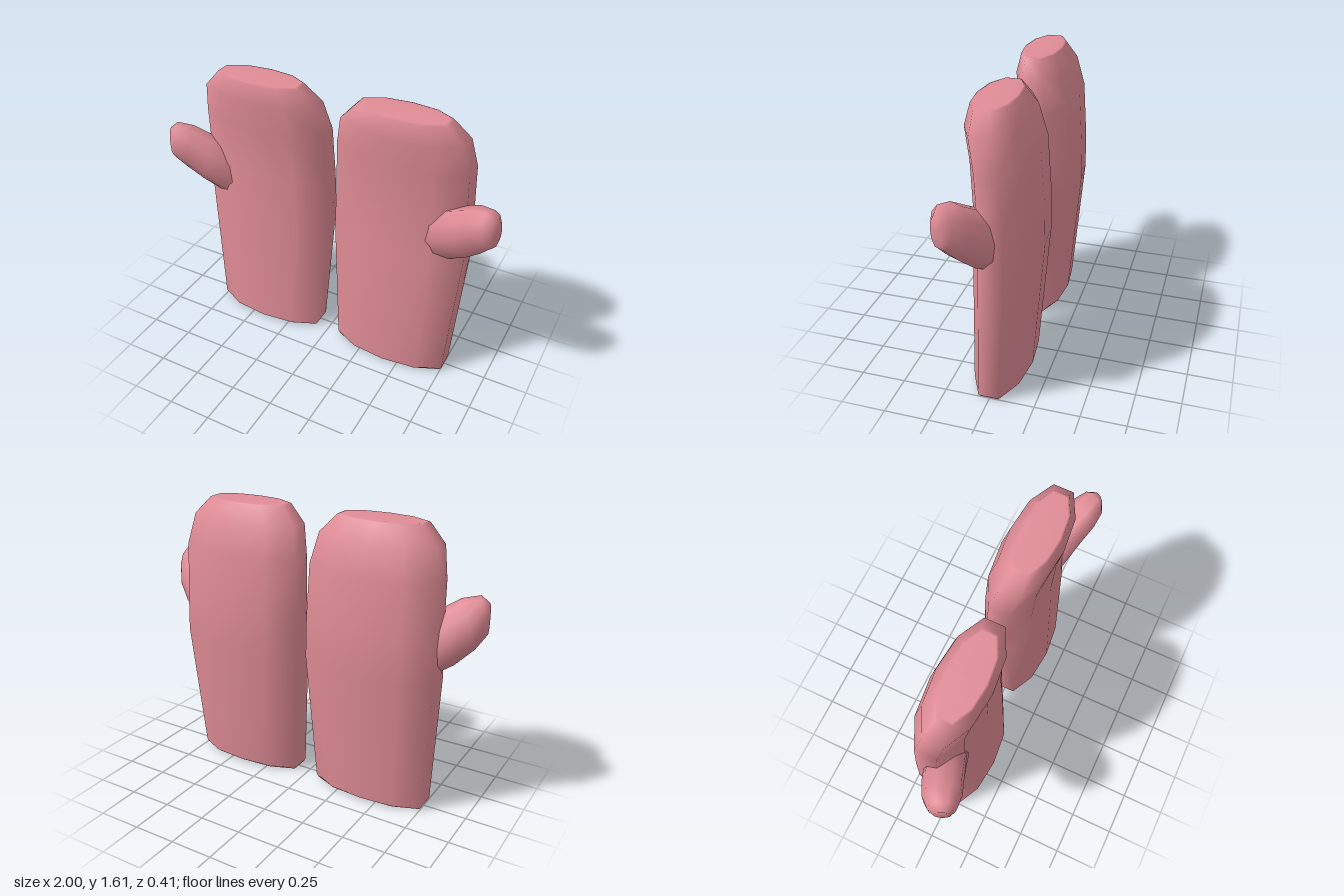
import * as THREE from 'three';

// Ten-sided flattened oval: narrow flat ends, gently bowed broad faces
const OVAL = [[1, -0.38], [1, 0.38], [0.58, 0.86], [0, 1], [-0.58, 0.86],
  [-1, 0.38], [-1, -0.38], [-0.58, -0.86], [0, -1], [0.58, -0.86]];

// Smooth skin over successive rings, closed at both ends; side -1 mirrors it
function loft(rings, side) {
  const n = OVAL.length, pos = [], index = [];
  const add = (p) => pos.push(p.x * side, p.y, p.z);
  const tri = (a, b, c) => (side > 0 ? index.push(a, b, c) : index.push(a, c, b));
  rings.forEach((ring) => ring.forEach(add));
  for (let r = 0; r < rings.length - 1; r++) {
    for (let i = 0; i < n; i++) {
      const a = r * n + i, b = r * n + (i + 1) % n;
      tri(a, a + n, b);
      tri(b, a + n, b + n);
    }
  }
  const centre = (ring) => ring.reduce((s, p) => s.add(p), new THREE.Vector3()).divideScalar(n);
  const first = rings.length * n, last = first + 1, top = first - n;
  add(centre(rings[0]));
  add(centre(rings[rings.length - 1]));
  for (let i = 0; i < n; i++) {
    const j = (i + 1) % n;
    tri(first, i, j);
    tri(last, top + j, top + i);
  }
  const g = new THREE.BufferGeometry();
  g.setAttribute('position', new THREE.Float32BufferAttribute(pos, 3));
  g.setIndex(index);
  g.computeVertexNormals();
  return g;
}

// Horizontal ring from its extents; lift raises the broad faces at the hem
function handRing([y, x0, x1, z0, z1], inset = 0, lift = 0) {
  return OVAL.map(([u, v]) => new THREE.Vector3(
    (x0 + x1) / 2 + u * ((x1 - x0) / 2 - inset),
    y + lift * v * v,
    (z0 + z1) / 2 + v * ((z1 - z0) / 2 - inset)));
}

// Tilted thumb ring: centre, half height vector (hx, hy), half thickness t
function thumbRing([x, y, z, hx, hy, t]) {
  return OVAL.map(([u, v]) => new THREE.Vector3(
    x + u * hx + v * t * 0.43, y + u * hy, z - v * t * 0.9));
}

export function createModel() {
  const model = new THREE.Group();
  model.name = 'mittens';
  const wool = new THREE.MeshStandardMaterial({ color: 0xe08c96 });
  wool.name = 'pink wool';

  // y, inner x, outer x, back z, front z
  const hem = [0.02, 0.075, 0.755, -0.145, 0.155];
  const rows = [
    [0.8, 0.03, 0.8, -0.21, 0.13],
    [1.04, 0.035, 0.79, -0.205, 0.12],
    [1.34, 0.045, 0.783, -0.185, 0.132],
    [1.51, 0.08, 0.75, -0.14, 0.16],
    [1.61, 0.17, 0.66, -0.08, 0.14],
  ];
  const rim = [0, ...hem.slice(1)];
  const handRings = [
    // lining, from inside top down to the opening
    ...rows.slice(0, 4).reverse().map((r) => handRing(r, 0.035)),
    handRing(hem, 0.035, 0.01),
    // rounded hem
    handRing(rim, 0.024, 0.015),
    handRing(rim, 0.01, 0.013),
    handRing(hem),
    // outside, up to the flat tip
    ...rows.map((r) => handRing(r)),
    handRing([1.615, 0.185, 0.645, -0.068, 0.128]),
  ];

  const thumbRings = [
    [0.62, 0.91, -0.01, -0.03, 0.145, 0.115],
    [0.8, 1.025, 0.055, -0.04, 0.135, 0.11],
    [0.89, 1.1, 0.1, -0.04, 0.12, 0.103],
    [0.953, 1.14, 0.135, -0.015, 0.104, 0.075],
    [0.98, 1.13, 0.148, 0, 0.08, 0.042],
  ].map(thumbRing);

  for (const side of [1, -1]) {
    const mitten = new THREE.Group();
    mitten.name = side > 0 ? 'leftMitten' : 'rightMitten';
    const hand = new THREE.Mesh(loft(handRings, side), wool);
    hand.name = 'hand';
    const thumb = new THREE.Mesh(loft(thumbRings, side), wool);
    thumb.name = 'thumb';
    mitten.add(hand, thumb);
    model.add(mitten);
  }
  return model;
}
